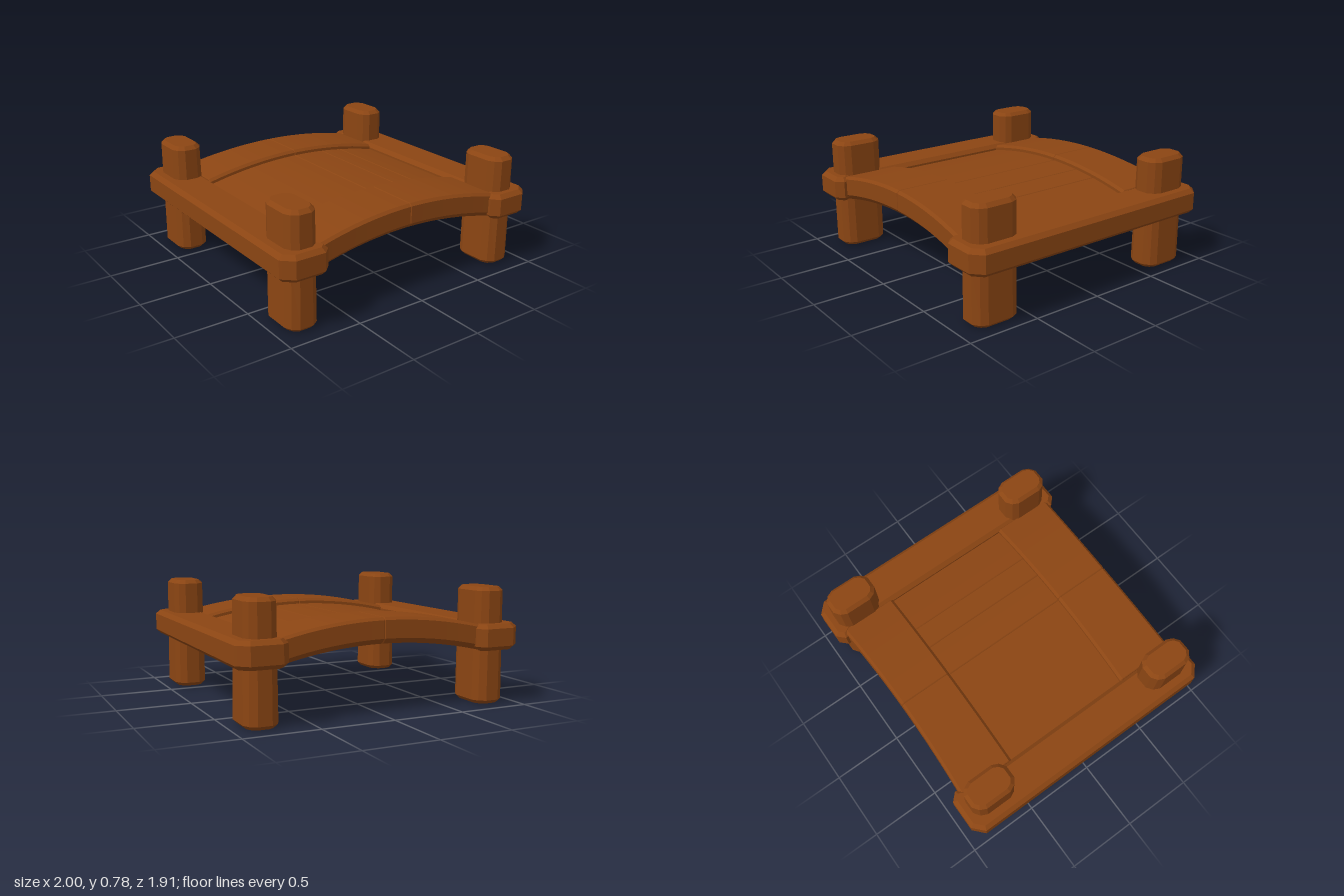
import * as THREE from 'three';

const wood = new THREE.MeshStandardMaterial({ color: 0x8b4513 });
wood.name = 'brownWood';

// Bevelled prism whose outline keeps its drawn size; runs from z = 0 to z = length
function prism(points, length, bevel, steps = 1) {
  const shape = new THREE.Shape(points.map(([x, y]) => new THREE.Vector2(x, y)));
  const geo = new THREE.ExtrudeGeometry(shape, {
    depth: length - 2 * bevel, steps, bevelEnabled: true, bevelSegments: 1,
    bevelThickness: bevel, bevelSize: bevel, bevelOffset: -bevel,
  });
  return geo.translate(0, 0, bevel);
}

// Move every vertex by a rule, then restore the faceted normals
function reshape(geo, rule) {
  const pos = geo.attributes.position;
  const v = new THREE.Vector3();
  for (let i = 0; i < pos.count; i++) {
    rule(v.fromBufferAttribute(pos, i));
    pos.setXYZ(i, v.x, v.y, v.z);
  }
  geo.computeVertexNormals();
  return geo;
}

// Board running along x, bent into a shallow arch
function archedBoard(x0, x1, z0, z1, bottom, top, cutTop, cutBottom) {
  const section = [
    [-z1, bottom + cutBottom], [-z1 + cutBottom, bottom],
    [-z0 - cutBottom, bottom], [-z0, bottom + cutBottom],
    [-z0, top - cutTop], [-z0 - cutTop, top],
    [-z1 + cutTop, top], [-z1, top - cutTop],
  ];
  const steps = Math.max(3, Math.round((x1 - x0) / 0.09));
  const geo = prism(section, x1 - x0, 0.005, steps).rotateY(Math.PI / 2).translate(x0, 0, 0);
  return reshape(geo, (v) => {
    const bend = v.x * v.x;
    v.y -= 0.165 * bend;
    // outer edges flare slightly towards the corners
    if (Math.abs(v.z) > 0.8) v.z += Math.sign(v.z) * 0.045 * bend;
  });
}

export function createModel() {
  const model = new THREE.Group();
  model.name = 'archedWoodenPlatform';
  const add = (name, geo) => {
    const mesh = new THREE.Mesh(geo, wood);
    mesh.name = name;
    model.add(mesh);
    return mesh;
  };

  // Side beams: chamfered corners and an inner flare at each end
  const outerHalf = [[1, 0.885], [0.985, 0.9], [0.925, 0.955], [0.72, 0.955],
    [0.67, 0.905], [0.675, 0.87], [0.715, 0.8]];
  const outline = [...outerHalf, ...outerHalf.map(([x, z]) => [x, -z]).reverse()];
  for (const side of [1, -1]) {
    const geo = prism(outline, 0.175, 0.028).rotateX(-Math.PI / 2).translate(0, 0.37, 0);
    if (side < 0) geo.rotateY(Math.PI);
    add(side > 0 ? 'leftBeam' : 'rightBeam', geo);
  }

  // Corner posts: oblong section, a little slimmer above the beam
  const quarter = [[0.11, 0.09], [0.088, 0.135], [0.045, 0.165]];
  const flip = (sx, sz) => quarter.map(([x, z]) => [x * sx, z * sz]);
  const postOutline = [...flip(1, 1), ...flip(-1, 1).reverse(),
    ...flip(-1, -1), ...flip(1, -1).reverse()];
  for (const sx of [1, -1]) {
    for (const sz of [1, -1]) {
      const geo = prism(postOutline, 0.785, 0.025, 2).rotateX(-Math.PI / 2);
      reshape(geo, (v) => { v.x *= 1.03 - 0.1 * v.y; });
      const post = add((sz > 0 ? 'front' : 'back') + (sx > 0 ? 'Left' : 'Right') + 'Post', geo);
      post.position.set(sx * 0.815, 0, sz * 0.725);
    }
  }

  // Raised arched boards along the front and back, each in two halves
  for (const [name, z0, z1] of [['front', 0.455, 0.865], ['back', -0.865, -0.48]]) {
    add(name + 'BoardRight', archedBoard(-0.72, 0, z0, z1, 0.455, 0.625, 0.018, 0.035));
    add(name + 'BoardLeft', archedBoard(0, 0.72, z0, z1, 0.455, 0.625, 0.018, 0.035));
  }

  // Recessed deck planks between the boards
  const seams = [-0.73, 0, 0.245, 0.42, 0.73];
  for (let i = 0; i < seams.length - 1; i++) {
    add('deckPlank' + (i + 1),
      archedBoard(seams[i], seams[i + 1], -0.51, 0.49, 0.49, 0.587, 0.006, 0.006));
  }

  return model;
}
